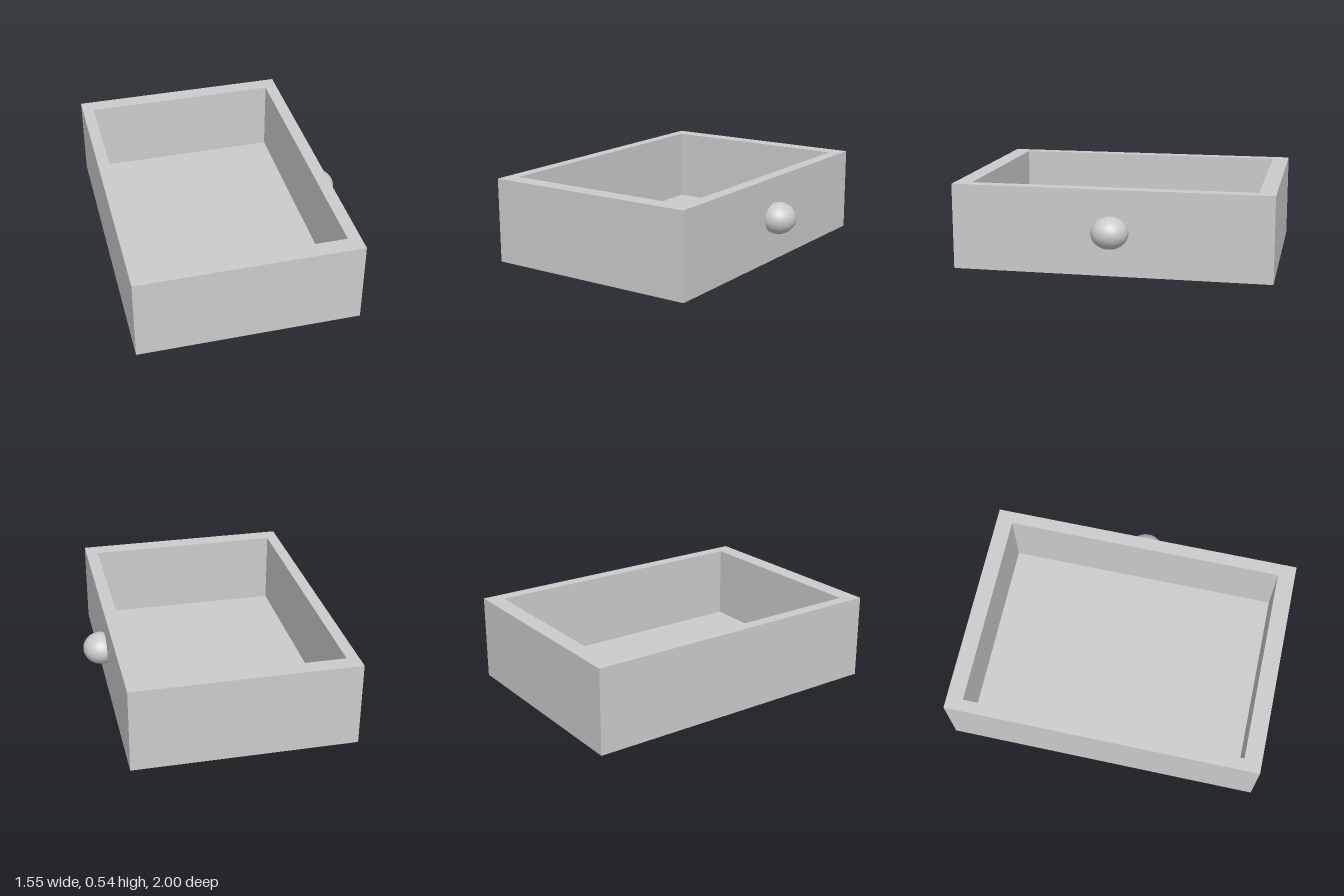
import * as THREE from 'three';

// Rectangular ring of corners at height y, counter-clockwise seen from above
const ring = (x0, x1, z0, z1, y) => [[x0, y, z1], [x1, y, z1], [x1, y, z0], [x0, y, z0]];

// Watertight open tray: rectangular rings from the underside, over the rim, to the inner floor
function trayGeometry() {
  const rings = [
    ring(-0.775, 0.63, -1, 1, 0),
    ring(-0.775, 0.63, -1, 1, 0.54),
    ring(-0.7, 0.55, -0.895, 0.89, 0.54),
    ring(-0.7, 0.55, -0.895, 0.89, 0.065),
  ];
  const pos = [];
  const quad = (a, b, c, d) => pos.push(...a, ...b, ...c, ...a, ...c, ...d);
  for (let r = 0; r < rings.length - 1; r++) {
    for (let i = 0; i < 4; i++) {
      const j = (i + 1) % 4;
      quad(rings[r][i], rings[r][j], rings[r + 1][j], rings[r + 1][i]);
    }
  }
  quad(...rings[3]); // inner floor
  quad(...[...rings[0]].reverse()); // underside
  const geometry = new THREE.BufferGeometry();
  geometry.setAttribute('position', new THREE.Float32BufferAttribute(pos, 3));
  geometry.computeVertexNormals();
  return geometry;
}

export function createModel() {
  const group = new THREE.Group();
  group.name = 'drawer';
  const material = new THREE.MeshStandardMaterial({ color: 0xcccccc });

  const tray = new THREE.Mesh(trayGeometry(), material);
  tray.name = 'drawerBox';

  // Flattened ball knob, sunk through the drawer's face
  const knob = new THREE.Mesh(new THREE.SphereGeometry(1, 32, 16), material);
  knob.name = 'knob';
  knob.scale.set(0.112, 0.1, 0.117);
  knob.position.set(0.661, 0.28, -0.008);

  group.add(tray, knob);
  return group;
}
